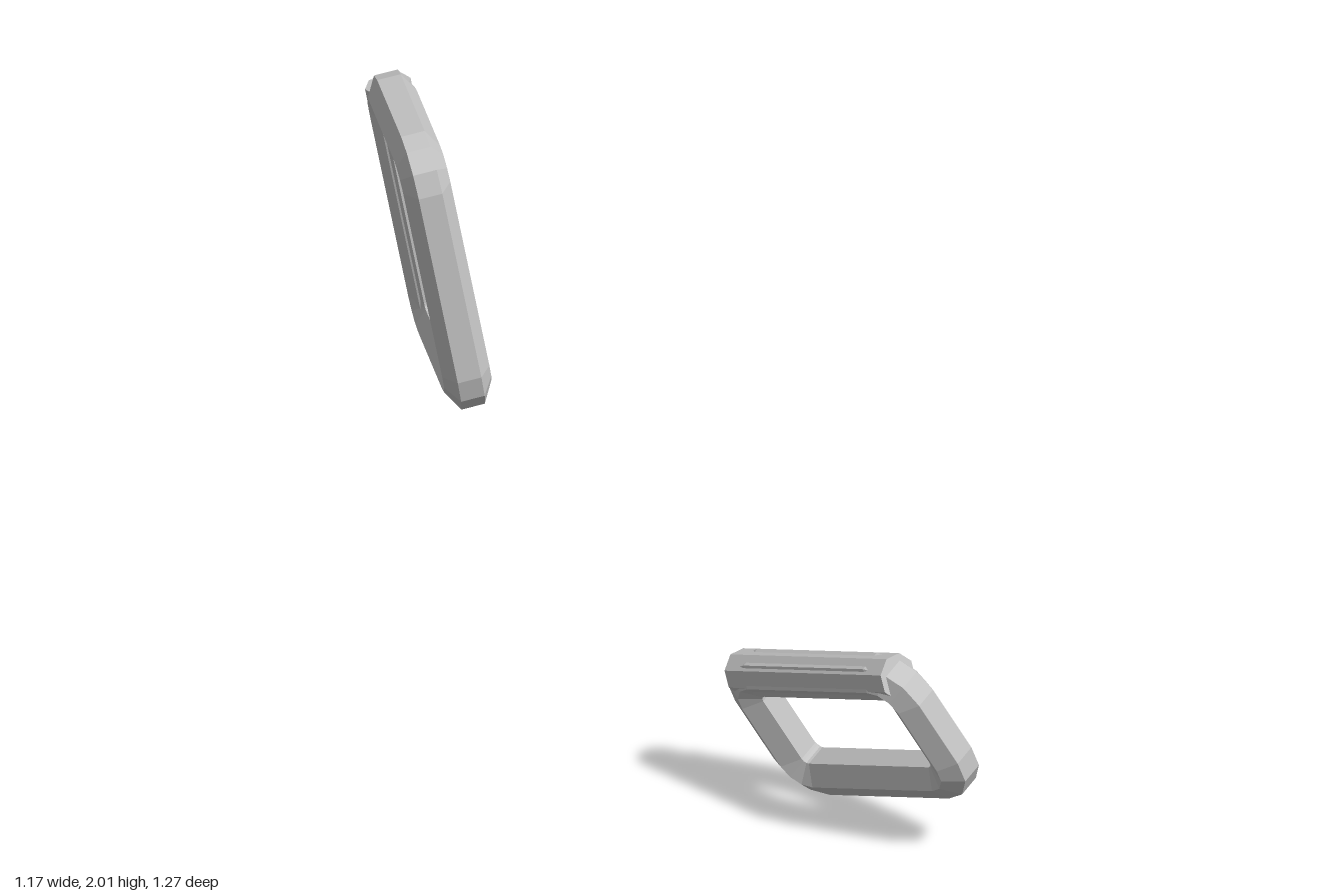
import * as THREE from 'three';

const TUBE = 0.058; // frame tube radius, six sides
const BAR = 0.056; // straight bar radius, eight sides
const BEND = 0.065; // centre-line radius of the corners
const SIDES = 6;
const STEPS = 3; // segments per corner

// Closed rounded rectangle in the XY plane swept with a hexagonal section
function frameGeometry(halfW, halfH) {
  const pos = [];
  const index = [];
  const corners = [[1, 1], [-1, 1], [-1, -1], [1, -1]];
  corners.forEach(([sx, sy], c) => {
    for (let k = 0; k <= STEPS; k++) {
      const phi = (c + k / STEPS) * Math.PI / 2;
      for (let j = 0; j < SIDES; j++) {
        const t = (j + 0.5) * Math.PI * 2 / SIDES;
        const r = BEND + TUBE * Math.cos(t);
        pos.push(
          sx * (halfW - BEND) + r * Math.cos(phi),
          sy * (halfH - BEND) + r * Math.sin(phi),
          TUBE * Math.sin(t)
        );
      }
    }
  });
  const rings = corners.length * (STEPS + 1);
  for (let i = 0; i < rings; i++) {
    const n = (i + 1) % rings;
    for (let j = 0; j < SIDES; j++) {
      const m = (j + 1) % SIDES;
      const a = i * SIDES + j, b = n * SIDES + j, d = n * SIDES + m, e = i * SIDES + m;
      index.push(a, b, d, a, d, e);
    }
  }
  const g = new THREE.BufferGeometry();
  g.setAttribute('position', new THREE.Float32BufferAttribute(pos, 3));
  g.setIndex(index);
  g.computeVertexNormals();
  return g;
}

// One link: rounded frame plus a straight cross bar along its +X side
function makeLink(name, material, { halfW, halfH, centre, side, along }) {
  const link = new THREE.Group();
  link.name = name;

  const frame = new THREE.Mesh(frameGeometry(halfW, halfH), material);
  frame.name = 'roundedFrame';

  const bar = new THREE.Mesh(new THREE.CylinderGeometry(BAR, BAR, halfH * 2, 8), material);
  bar.name = 'straightBar';
  bar.position.x = halfW + 0.002;
  link.add(frame, bar);

  // Orient: local X points to the bar, local Y runs along it
  const x = new THREE.Vector3(...side).normalize();
  const z = x.clone().cross(new THREE.Vector3(...along)).normalize();
  const y = z.clone().cross(x);
  link.quaternion.setFromRotationMatrix(new THREE.Matrix4().makeBasis(x, y, z));
  link.position.set(...centre);
  return link;
}

export function createModel() {
  const model = new THREE.Group();
  model.name = 'twoLinks';
  const metal = new THREE.MeshStandardMaterial({ color: 0xc6c6c6 });
  metal.name = 'light grey metal';
  metal.flatShading = true;

  model.add(
    makeLink('upperLink', metal, {
      halfW: 0.223, halfH: 0.316,
      centre: [-0.348, 1.64, -0.373],
      side: [0.665, 0, -0.745],
      along: [-0.14, 0.98, -0.125],
    }),
    makeLink('lowerLink', metal, {
      halfW: 0.158, halfH: 0.278,
      centre: [0.443, 0.257, 0.288],
      side: [-0.378, 0.866, -0.33],
      along: [0.125, -0.3, -0.944],
    })
  );
  return model;
}
